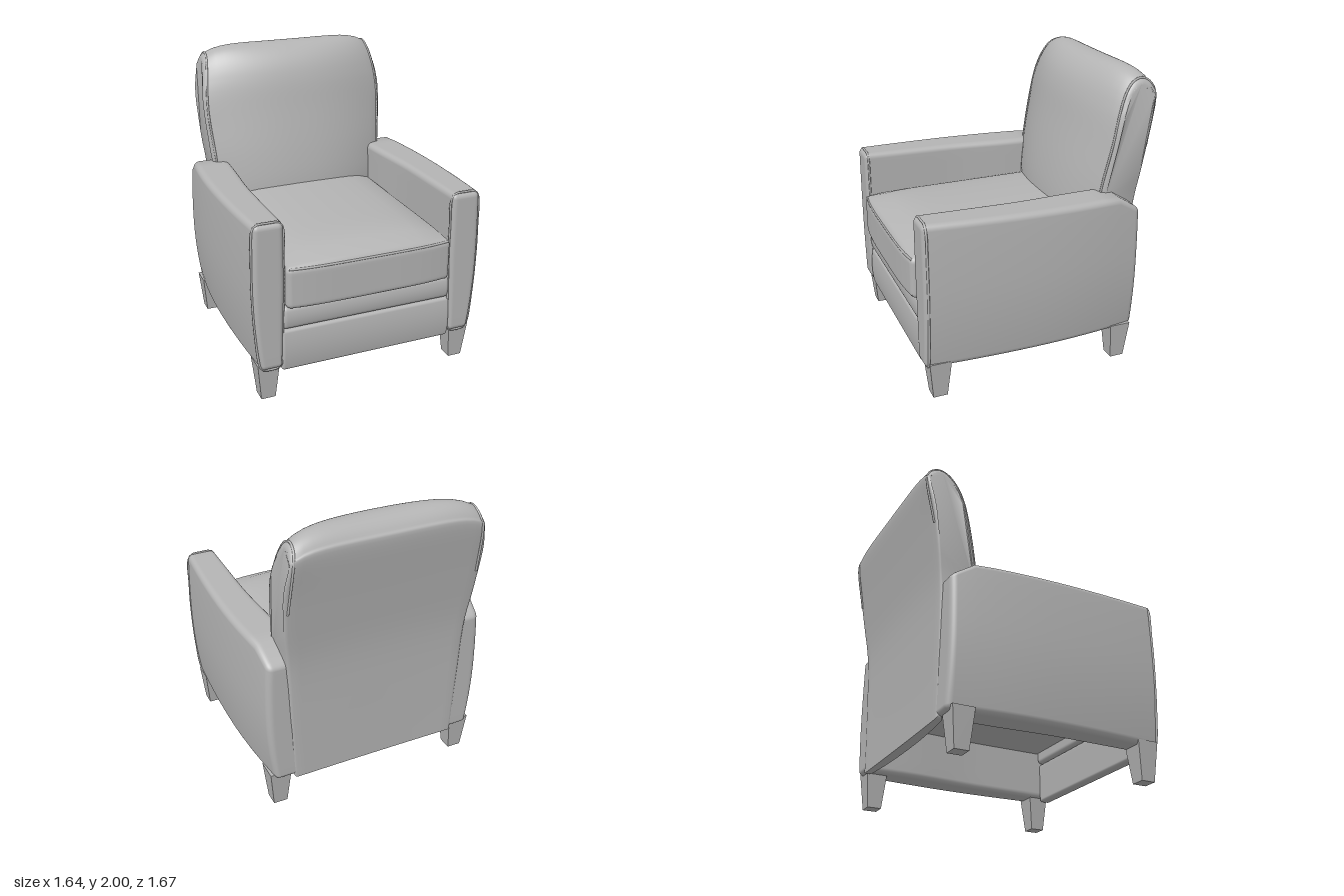
import * as THREE from 'three';
import { mergeVertices, toCreasedNormals } from 'three/addons/utils/BufferGeometryUtils.js';

const { lerp, clamp, smoothstep } = THREE.MathUtils;

// Move every vertex by a rule, then rebuild smooth normals
function reshape(geo, rule) {
  geo.deleteAttribute('uv');
  geo.deleteAttribute('normal');
  geo = mergeVertices(geo, 1e-5);
  const pos = geo.attributes.position, p = new THREE.Vector3();
  for (let i = 0; i < pos.count; i++) {
    rule(p.fromBufferAttribute(pos, i));
    pos.setXYZ(i, p.x, p.y, p.z);
  }
  geo.computeVertexNormals();
  return geo;
}

// Rounded, finely divided block that can be bent by a warp rule
function block(size, centre, radius, warp = () => {}) {
  const corner = 4, n = 20;
  const half = size.map((s) => s / 2);
  return reshape(new THREE.BoxGeometry(2, 2, 2, n, n, n), (p) => {
    const q = p.toArray(), core = [], d = new THREE.Vector3();
    q.forEach((t, k) => {
      const i = Math.round(((t + 1) / 2) * n), inner = half[k] - radius;
      const v = i < corner ? -half[k] + (radius * i) / corner
        : i > n - corner ? half[k] - (radius * (n - i)) / corner
        : lerp(-inner, inner, (i - corner) / (n - 2 * corner));
      core[k] = clamp(v, -inner, inner);
      d.setComponent(k, v - core[k]);
    });
    if (d.lengthSq() > 0) d.setLength(radius);
    p.set(core[0] + d.x + centre[0], core[1] + d.y + centre[1], core[2] + d.z + centre[2]);
    warp(p);
  });
}

// Thin seam cord through a list of points
function cord(points, closed = false) {
  const curve = new THREE.CatmullRomCurve3(points, closed, 'centripetal');
  return new THREE.TubeGeometry(curve, 80, 0.008, 6, closed);
}

// Arm: bowed outer side, flared inner side towards the rear, top falling to the back
function armWarp(p) {
  const { y, z } = p;
  const t = clamp((p.x + 0.12) / 0.24, 0, 1);
  const low = Math.max(0, (0.8 - y) / 0.57), high = Math.max(0, (y - 0.8) / 0.43);
  const outer = 0.822 - (z > 0 ? 0.035 : 0.06) * (z / 0.75) ** 2 - 0.045 * low ** 2 - 0.012 * high ** 2;
  const inner = 0.575 - 0.035 * smoothstep(-z, -0.2, 0.45) + 0.022 * low;
  p.x = lerp(inner, outer, t);
  const drop = 0.025 * (0.79 - z) / 1.3 + 0.09 * smoothstep(-z, 0.5, 0.7) ** 1.5;
  p.y -= drop * clamp((y - 0.23) / 1.0, 0, 1);
}

// Seat cushion: crowned top and gently curved front
function cushionWarp(p) {
  const x = Math.min(1, Math.abs(p.x) / 0.57), z = Math.max(0, (p.z - 0.19) / 0.64);
  const top = clamp((p.y - 0.65) / 0.27, 0, 1);
  p.y += top ** 3 * (0.045 * (1 - x * x) + 0.05 * (1 - x ** 8)) * (1 - Math.min(1, z) ** 6);
  p.z -= 0.025 * x ** 4 * clamp(z, 0, 1);
}

// Half width of the backrest at a given height
const widths = new THREE.SplineCurve([
  [0.2, 0.6], [0.7, 0.62], [1.1, 0.64], [1.35, 0.665], [1.65, 0.68], [1.88, 0.655], [2.0, 0.635],
].map((a) => new THREE.Vector2(...a))).getPoints(60);
function halfWidth(y) {
  const i = widths.findIndex((w) => w.y !== undefined && w.x >= y);
  return i < 0 ? widths[60].y : widths[i].y;
}

// Backrest: front bulges in the middle, upper corners fall away
function backWarp(p) {
  const xn = clamp(p.x / 0.68, -1, 1), a = Math.abs(xn);
  const rear = p.y < 1.1 ? -0.71 : lerp(-0.72, -0.835, clamp((p.y - 1.1) / 0.78, 0, 1));
  const front = clamp((p.z - rear) / 0.38, 0, 1);
  p.x = xn * halfWidth(p.y);
  p.z -= 0.14 * a ** 2.2 * front;
  p.y -= 0.07 * a ** 6 * clamp((p.y - 1.6) / 0.38, 0, 1);
}

function backGeometry(profile) {
  const shape = new THREE.Shape();
  shape.moveTo(0.63, 0.215);
  shape.lineTo(0.7, 0.215);
  shape.splineThru(profile.map(([z, y]) => new THREE.Vector2(-z, y)));
  shape.lineTo(0.62, 0.62);
  const bevel = 0.025;
  const geo = new THREE.ExtrudeGeometry(shape, {
    depth: 1.36 - 2 * bevel, steps: 20, curveSegments: 5,
    bevelThickness: bevel, bevelSize: bevel, bevelOffset: -bevel, bevelSegments: 3,
  });
  geo.translate(0, 0, -0.68 + bevel).rotateY(Math.PI / 2);
  return toCreasedNormals(reshape(geo, backWarp), 0.7);
}

export function createModel() {
  const chair = new THREE.Group();
  chair.name = 'armchair';
  const grey = new THREE.MeshStandardMaterial({ color: 0xb4b4b4 });
  grey.name = 'grey upholstery';
  const add = (name, geo, parent = chair) => {
    const mesh = new THREE.Mesh(geo, grey);
    mesh.name = name;
    parent.add(mesh);
    return mesh;
  };
  const V = (x, y, z) => new THREE.Vector3(x, y, z);

  // Backrest, side profile as [z, y] from the rear foot over the top to the seat
  const profile = [
    [-0.705, 0.6], [-0.722, 1.1], [-0.775, 1.5], [-0.832, 1.86], [-0.815, 1.925], [-0.76, 1.98],
    [-0.68, 2.0], [-0.59, 1.975], [-0.51, 1.89], [-0.455, 1.76], [-0.41, 1.55],
    [-0.35, 1.25], [-0.32, 1.02], [-0.32, 0.8],
  ];
  add('backrest', backGeometry(profile));
  for (const side of [1, -1]) {
    const seam = profile.slice(2, 13).map(([z, y]) => {
      const p = V(0.655 * side, y, z);
      backWarp(p);
      return p;
    });
    add(side > 0 ? 'leftBackSeam' : 'rightBackSeam', cord(seam));
  }

  // Arms with a cord around the front panel
  const armGeo = block([0.24, 1.005, 1.49], [0, 0.7325, 0.045], 0.04, armWarp);
  const outline = [];
  for (const [x, y] of [[-1, 0.26], [-1, 0.5], [-1, 0.8], [-1, 1.0], [-1, 1.19], [-0.75, 1.23], [0, 1.235],
    [0.75, 1.23], [1, 1.19], [1, 1.0], [1, 0.8], [1, 0.5], [1, 0.26], [0.75, 0.232], [-0.75, 0.232]]) {
    const p = V(x * 0.118, y, 0.765);
    armWarp(p);
    outline.push(p);
  }
  const armSeam = cord(outline, true);
  for (const side of [1, -1]) {
    const arm = new THREE.Group();
    arm.name = side > 0 ? 'leftArm' : 'rightArm';
    // Mirrored copies keep their outward faces
    arm.scale.x = side;
    add('armBody', armGeo, arm);
    add('armSeam', armSeam, arm);
    chair.add(arm);
  }

  // Seat cushion with its two front seams
  add('seatCushion', block([1.14, 0.28, 1.28], [0, 0.785, 0.19], 0.035, cushionWarp));
  for (const y of [0.917, 0.667]) {
    const seam = [];
    for (let i = -8; i <= 8; i++) seam.push(V(i * 0.069, y, 0.82 - 0.025 * (i / 8) ** 4));
    add('cushionSeam', cord(seam));
  }

  // Folded footrest: padded roll above a flat lower panel
  const bow = (y0, y1) => (p) => {
    if (p.z > 0.7) p.z += 0.015 * (1 - ((2 * p.y - y0 - y1) / (y1 - y0)) ** 2);
  };
  add('footrestRoll', block([1.18, 0.165, 0.1], [0, 0.57, 0.72], 0.03, bow(0.49, 0.65)));
  add('footrestPanel', block([1.195, 0.29, 0.08], [0, 0.342, 0.73], 0.02, bow(0.2, 0.49)));

  // Deck under the cushion, leaving the base hollow
  add('seatDeck', new THREE.BoxGeometry(1.18, 0.09, 1.36).translate(0, 0.615, 0.04));

  // Tapered square legs
  const legGeo = new THREE.CylinderGeometry(0.104, 0.068, 0.26, 4).rotateY(Math.PI / 4).toNonIndexed();
  legGeo.computeVertexNormals();
  for (const x of [0.685, -0.685]) {
    for (const z of [0.69, -0.6]) {
      add(z > 0 ? 'frontLeg' : 'rearLeg', legGeo).position.set(x, 0.13, z);
    }
  }
  return chair;
}
